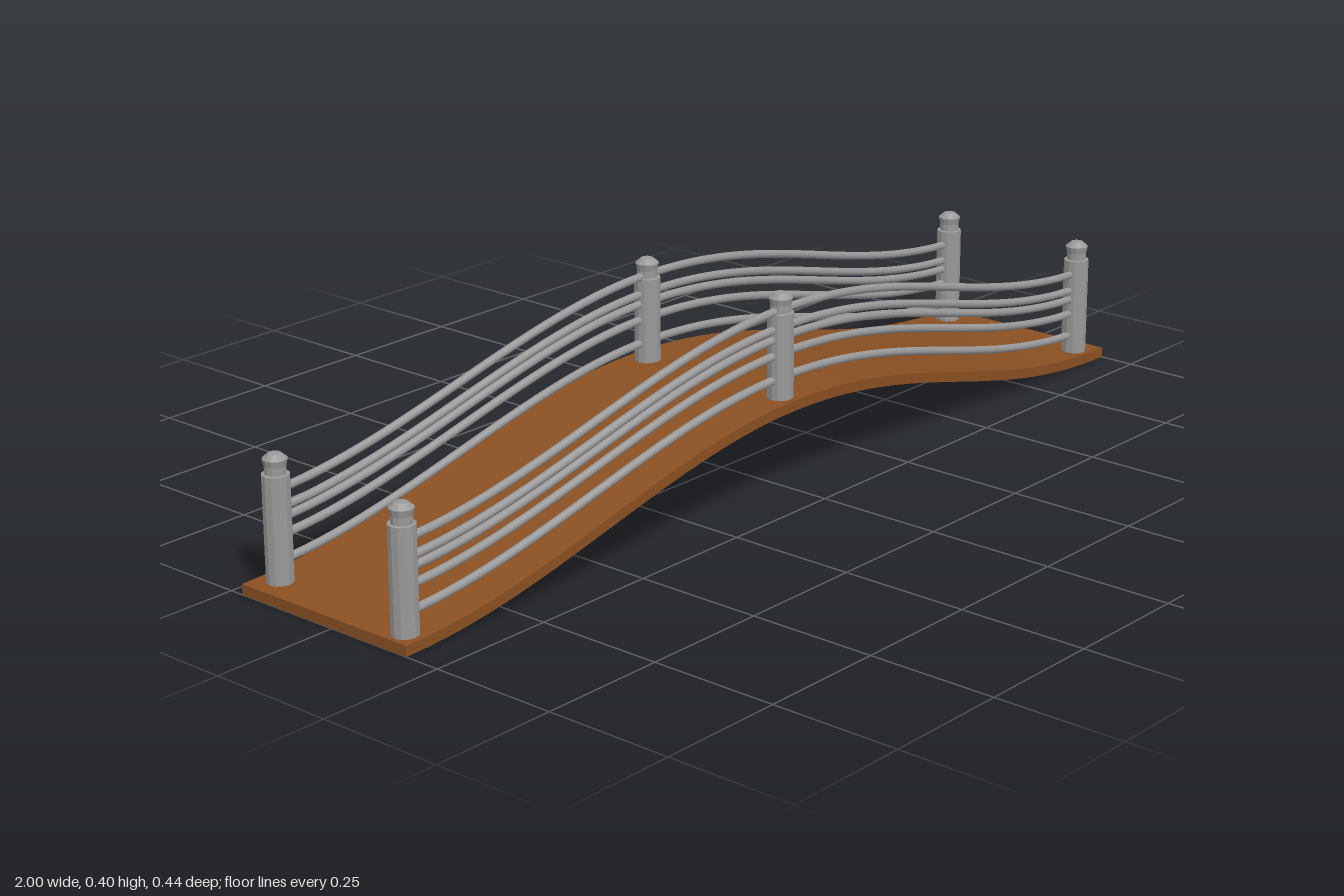
import * as THREE from 'three';

const CREST = -0.05, RISE = 0.18, THICK = 0.02;

// Height of the arch above its ends, at x
function arch(x) {
  const half = x < CREST ? 1 + CREST : 1 - CREST;
  const u = Math.min(1, Math.abs(x - CREST) / half);
  return RISE * (1 + Math.cos(Math.PI * u)) / 2;
}

// The bridge bows sideways in step with its height
const bow = (x) => -0.022 + 0.044 * arch(x) / RISE;

export function createModel() {
  const wood = new THREE.MeshStandardMaterial({ color: 0x8a5022 });
  wood.name = 'brown wood';
  const metal = new THREE.MeshStandardMaterial({ color: 0x999999, flatShading: true });
  metal.name = 'grey post';
  const railMetal = metal.clone();
  railMetal.name = 'grey rail';
  railMetal.flatShading = false;

  const bridge = new THREE.Group();
  bridge.name = 'archedFootbridge';

  // Deck: a long plank bent up and sideways
  const deckGeo = new THREE.BoxGeometry(2, THICK, 0.4, 40, 1, 1);
  const p = deckGeo.attributes.position;
  for (let i = 0; i < p.count; i++) {
    const x = p.getX(i);
    p.setXYZ(i, x, p.getY(i) + THICK / 2 + arch(x), p.getZ(i) + bow(x));
  }
  deckGeo.computeVertexNormals();
  const deck = new THREE.Mesh(deckGeo, wood);
  deck.name = 'deck';
  bridge.add(deck);

  // Post: shaft, narrow neck, flared cap with a low point
  const profile = [
    [0, -0.005], [0.025, -0.005], [0.025, 0.197], [0.0195, 0.198],
    [0.0195, 0.212], [0.0225, 0.225], [0.012, 0.234], [0, 0.235],
  ].map(([r, y]) => new THREE.Vector2(r, y));
  const midProfile = profile.map((v) => new THREE.Vector2(v.x, v.y > 0 ? v.y - 0.035 : v.y));
  const endPostGeo = new THREE.LatheGeometry(profile, 12);
  const midPostGeo = new THREE.LatheGeometry(midProfile, 12);

  const sides = [
    { name: 'front', z: 0.165, posts: [-0.967, -0.055, 0.945] },
    { name: 'back', z: -0.158, posts: [-0.95, -0.055, 0.943] },
  ];
  const railHeights = [0.036, 0.082, 0.113, 0.132, 0.166];

  for (const side of sides) {
    const railing = new THREE.Group();
    railing.name = side.name + 'Railing';
    bridge.add(railing);

    side.posts.forEach((x, i) => {
      const isMid = i === 1;
      const post = new THREE.Mesh(isMid ? midPostGeo : endPostGeo, metal);
      post.name = isMid ? 'middlePost' : 'endPost';
      post.position.set(x, arch(x) + THICK, side.z + bow(x));
      railing.add(post);
    });

    // Rails follow the arch from end post to end post
    const [x0, , x1] = side.posts;
    railHeights.forEach((h) => {
      const points = [];
      for (let i = 0; i <= 24; i++) {
        const x = x0 + (x1 - x0) * i / 24;
        points.push(new THREE.Vector3(x, arch(x) + THICK + h, side.z + bow(x)));
      }
      const geo = new THREE.TubeGeometry(new THREE.CatmullRomCurve3(points), 60, 0.008, 8);
      const rail = new THREE.Mesh(geo, railMetal);
      rail.name = 'rail';
      railing.add(rail);
    });
  }
  return bridge;
}
